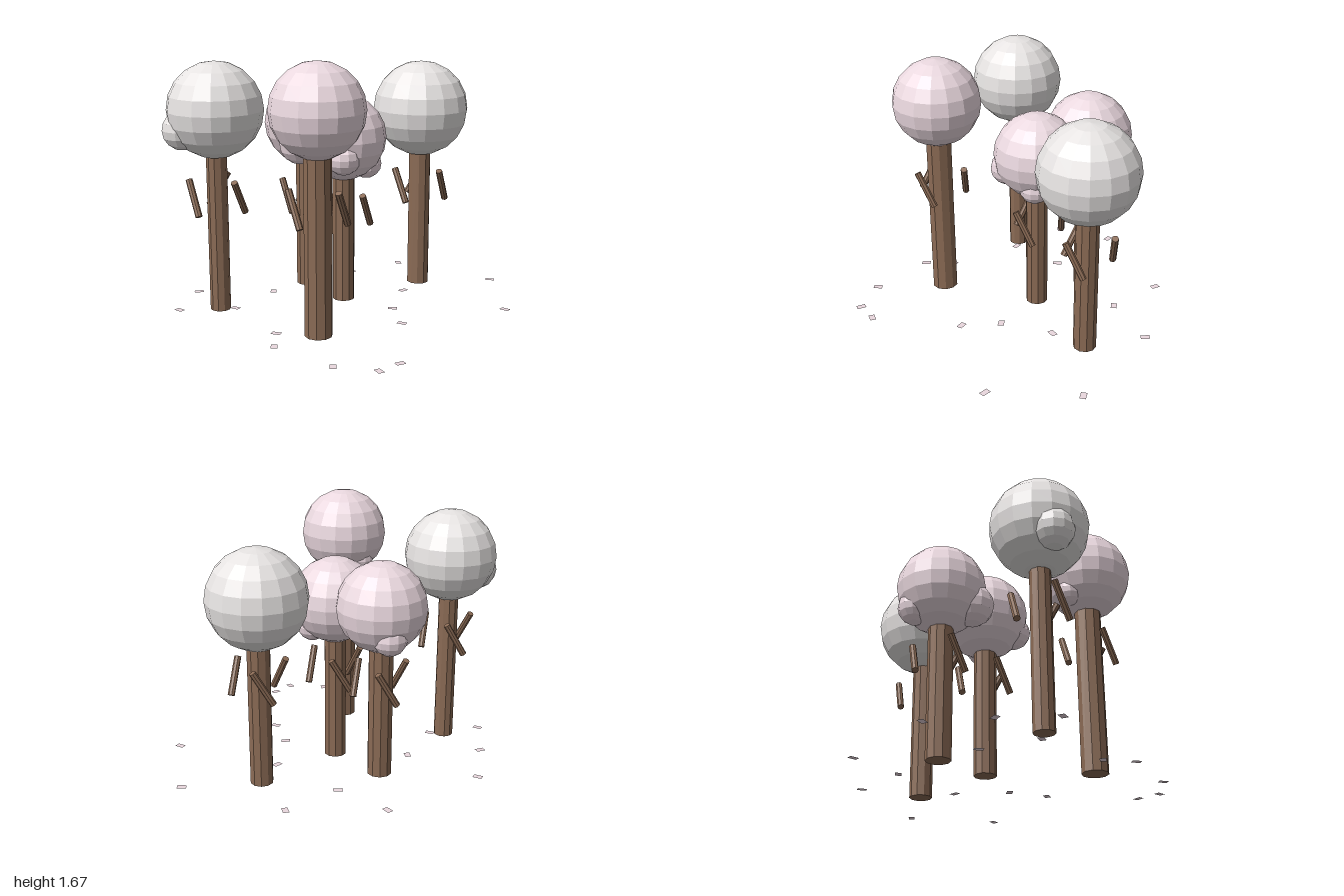
import * as THREE from 'three';

const flat = (color, side = THREE.FrontSide) =>
  new THREE.MeshStandardMaterial({ color, side, flatShading: true });
const bark = flat(0x8b6b55);
const pink = flat(0xead8df);
const pale = flat(0xe6e3e2);
const petalMaterial = flat(0xead8df, THREE.DoubleSide);

// base x, z; trunk radius; crown radius and centre height; branch height;
// bumps on the crown as [dx, dy, dz, radius]
const trees = [
  { x: 0, z: 0, trunk: 0.073, crown: 0.28, y: 1.10, branchY: 0.63, material: pink,
    bumps: [[0.13, -0.10, 0.14, 0.11], [0.11, -0.17, -0.10, 0.10]] },
  { x: -0.40, z: -0.07, trunk: 0.08, crown: 0.288, y: 1.143, branchY: 0.65, material: pink,
    bumps: [[0.10, -0.11, 0.17, 0.14], [-0.13, -0.15, -0.11, 0.11]] },
  { x: 0.15, z: -0.61, trunk: 0.075, crown: 0.32, y: 1.235, branchY: 0.715, material: pale, bumps: [] },
  { x: -0.455, z: 0.69, trunk: 0.066, crown: 0.306, y: 1.312, branchY: 0.765, material: pale,
    bumps: [[-0.12, -0.12, 0.165, 0.13]] },
  { x: 0.337, z: 0.59, trunk: 0.086, crown: 0.29, y: 1.383, branchY: 0.815, material: pink,
    bumps: [[-0.16, -0.17, -0.04, 0.09]] },
];

// x, z and turn of each fallen petal
const petals = [
  [0.52, -0.965, 0.6], [-0.2, -0.82, -0.7], [-0.71, -0.46, -0.3], [-0.32, -0.43, 0.7],
  [0.93, -0.54, 0.05], [0.38, -0.06, 0.7], [0.59, 0.1, 0.25], [-0.965, 0.235, 0.15],
  [-0.43, 0.24, -0.8], [-0.8, 0.59, 1.0], [0.97, 0.58, 1.2], [0.95, 0.74, -0.3],
  [0.72, 0.87, -0.8], [0.27, 0.9, -0.8], [0.13, 0.75, 0.4], [-0.38, 0.63, 0.2],
  [-0.62, 0.9, 0.1], [0.21, -0.375, 1.4],
];

function add(parent, name, geometry, material, x, y, z) {
  const mesh = new THREE.Mesh(geometry, material);
  mesh.name = name;
  mesh.position.set(x, y, z);
  parent.add(mesh);
  return mesh;
}

function buildTree(t) {
  const tree = new THREE.Group();
  tree.name = 'tree';
  tree.position.set(t.x, 0, t.z);

  // Straight trunk reaching into the crown
  add(tree, 'trunk', new THREE.CylinderGeometry(t.trunk, t.trunk, t.y, 10), bark, 0, t.y / 2, 0);

  // Round faceted crown with half-sunk bumps
  add(tree, 'crown', new THREE.SphereGeometry(t.crown, 16, 10), t.material, 0, t.y, 0);
  for (const [dx, dy, dz, r] of t.bumps)
    add(tree, 'crownBump', new THREE.SphereGeometry(r, 12, 8), t.material, dx, t.y + dy, dz);

  // Three sticks around the trunk, each leaning along the circle
  for (let i = 0; i < 3; i++) {
    const a = -0.3 + (i * Math.PI * 2) / 3;
    const c = Math.cos(a), s = Math.sin(a);
    const stick = add(tree, 'branch', new THREE.CylinderGeometry(0.022, 0.022, 0.25, 8), bark,
      0.165 * c, t.branchY, 0.165 * s);
    const lean = new THREE.Vector3(-s * 0.5, 0.866, c * 0.5).normalize();
    stick.quaternion.setFromUnitVectors(new THREE.Vector3(0, 1, 0), lean);
  }
  return tree;
}

export function createModel() {
  const grove = new THREE.Group();
  grove.name = 'grove';
  for (const t of trees) grove.add(buildTree(t));

  // Flat petals scattered on the ground
  const petalGeometry = new THREE.PlaneGeometry(0.06, 0.04).rotateX(-Math.PI / 2);
  for (const [x, z, turn] of petals)
    add(grove, 'petal', petalGeometry, petalMaterial, x, 0.003, z).rotation.y = turn;
  return grove;
}
